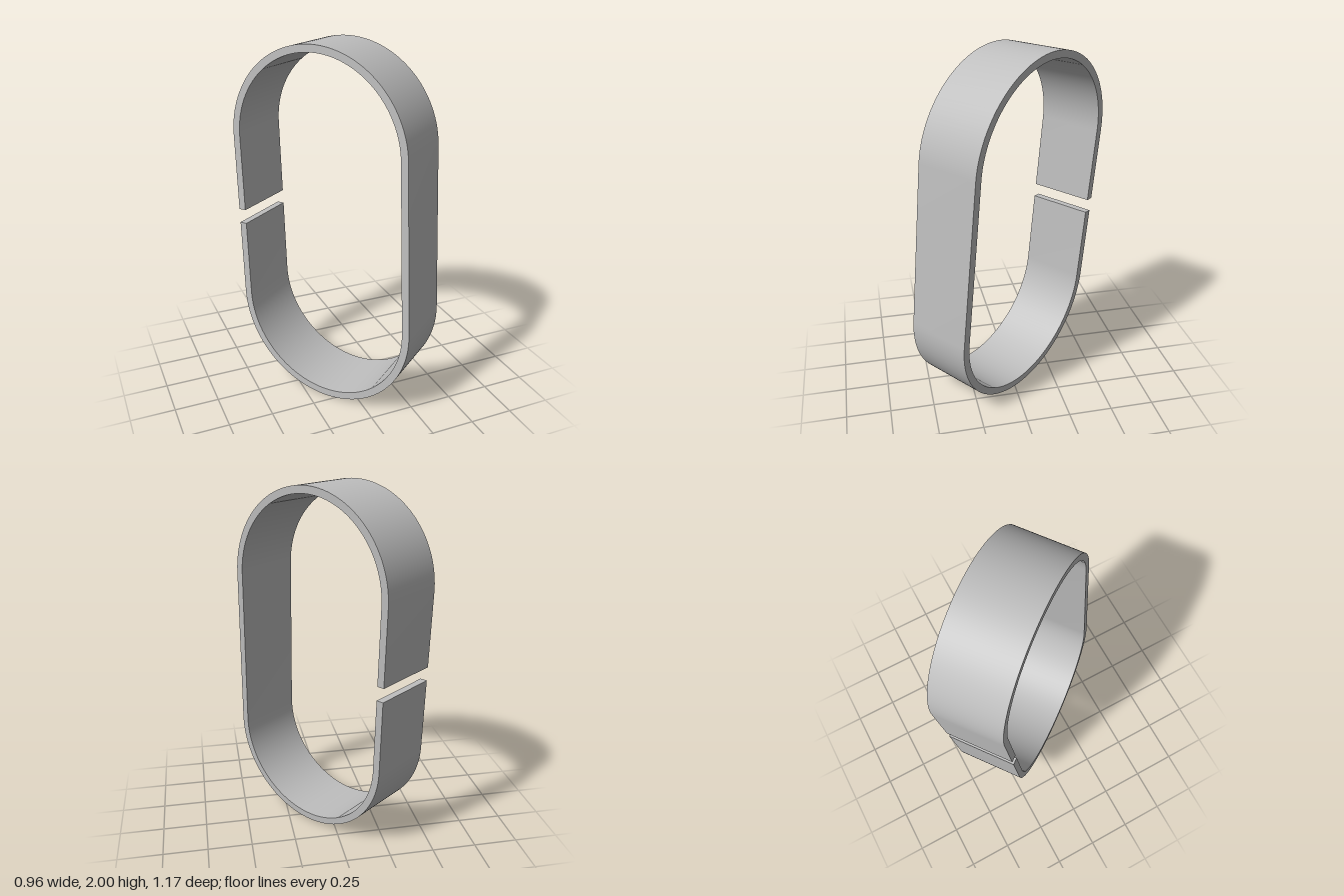
import * as THREE from 'three';
import { toCreasedNormals } from 'three/addons/utils/BufferGeometryUtils.js';

const OUTER = 0.533;   // outer end radius
const WALL = 0.041;    // band thickness
const STRAIGHT = 0.467; // half length of the straight sides
const GAP = 0.04;      // half height of the slit
const DEPTH = 0.39;    // band width

// Long-oval band outline, slit in the middle of its -x side
function bandOutline() {
  const R = OUTER, r = OUTER - WALL, c = STRAIGHT;
  const s = new THREE.Shape();
  s.moveTo(-R, -GAP);
  s.lineTo(-R, -c);
  s.absarc(0, -c, R, Math.PI, 2 * Math.PI, false);
  s.lineTo(R, c);
  s.absarc(0, c, R, 0, Math.PI, false);
  s.lineTo(-R, GAP);
  s.lineTo(-r, GAP);
  s.lineTo(-r, c);
  s.absarc(0, c, r, Math.PI, 0, true);
  s.lineTo(r, -c);
  s.absarc(0, -c, r, 0, -Math.PI, true);
  s.lineTo(-r, -GAP);
  s.closePath();
  return s;
}

export function createModel() {
  const grey = new THREE.MeshStandardMaterial({ color: 0xbfbfbf });
  grey.name = 'grey metal';

  const geometry = new THREE.ExtrudeGeometry(bandOutline(), {
    depth: DEPTH, bevelEnabled: false, curveSegments: 40,
  });
  geometry.translate(0, 0, -DEPTH / 2);

  // Turn the band about y and lean it backwards, keeping the slit level
  const across = new THREE.Vector3(0.61, 0, 0.793).normalize();
  const up = new THREE.Vector3(0, 1, -0.085);
  const axis = new THREE.Vector3(-0.793, 0, 0.61).normalize();
  geometry.applyMatrix4(new THREE.Matrix4().makeBasis(across, up, axis).setPosition(0, 1, 0));

  const band = new THREE.Mesh(toCreasedNormals(geometry, Math.PI / 6), grey);
  band.name = 'splitBand';

  const model = new THREE.Group();
  model.name = 'splitOvalLink';
  model.add(band);
  return model;
}
